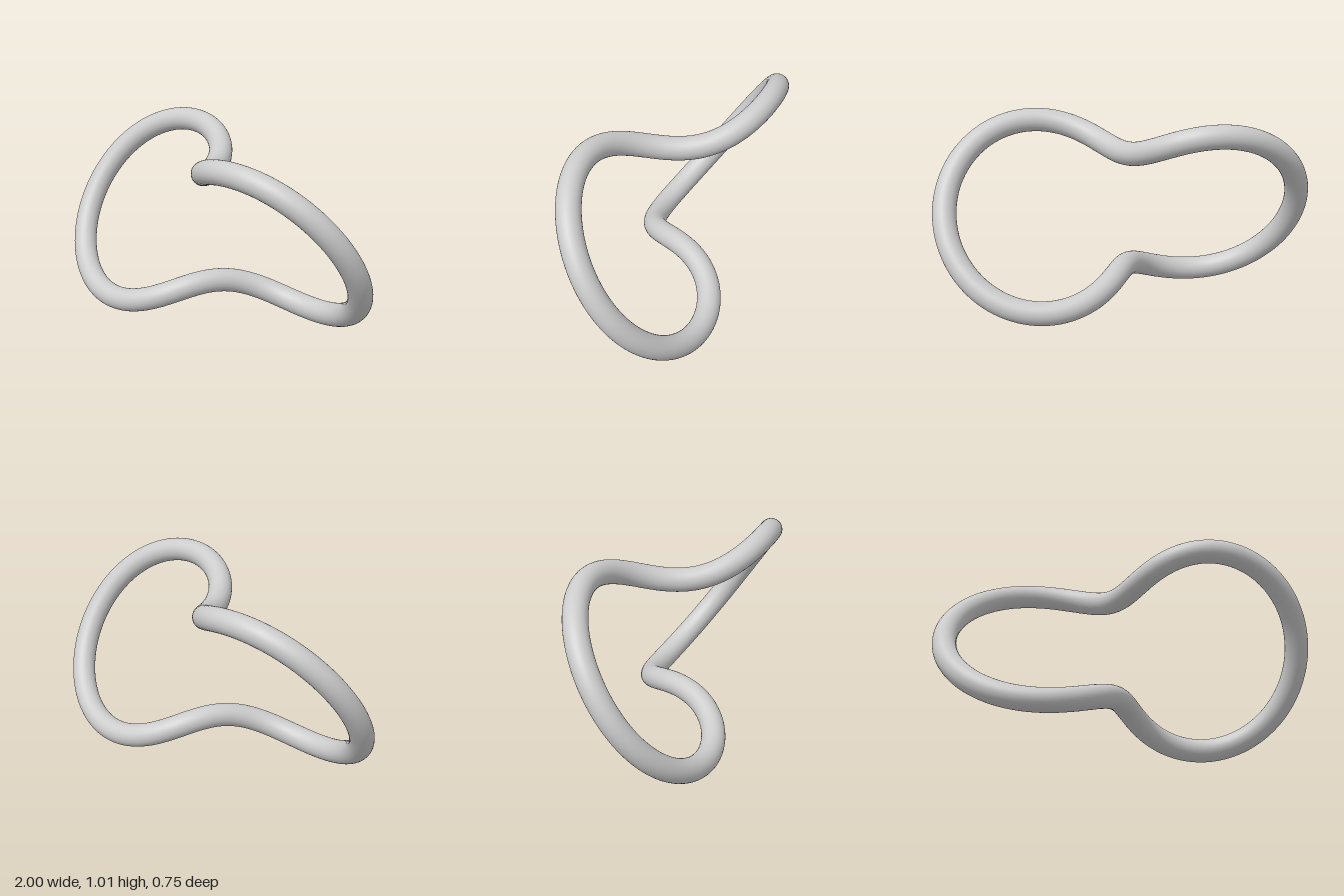
import * as THREE from 'three';

export function createModel() {
  const group = new THREE.Group();
  const radius = 0.625, tube = 0.0625;

  // Closed ring that winds twice around a torus cross-section in one turn
  const geometry = new THREE.TorusKnotGeometry(radius, tube, 256, 32, 1, 2);
  const ring = new THREE.Mesh(geometry, new THREE.MeshStandardMaterial({ color: 0xcccccc }));
  ring.name = 'twistedRing';

  // Stand the ring on the ground
  ring.position.y = radius * Math.SQRT1_2 + tube;
  group.add(ring);
  return group;
}
